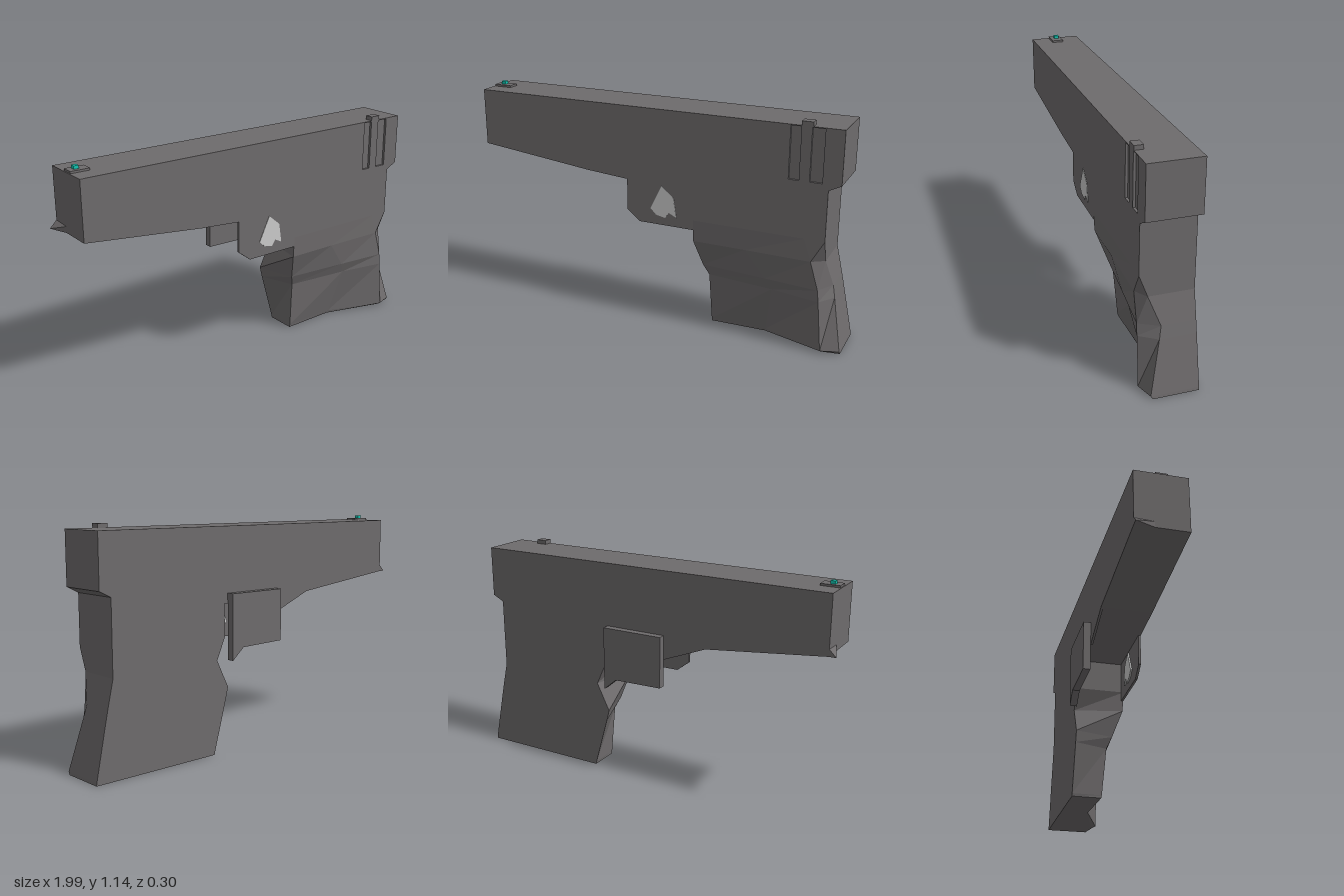
import * as THREE from 'three';

const paint = (color) => new THREE.MeshStandardMaterial({ color, flatShading: true });
const BACK = -0.11, FRONT = 0.15, GROOVE = 0.012;

const outline = (pts) => new THREE.Shape(pts.map(([x, y]) => new THREE.Vector2(x, y)));

// Flat plate from an xy outline between two depths
function plate(shape, z0, z1) {
  const g = new THREE.ExtrudeGeometry(shape, { depth: z1 - z0, bevelEnabled: false });
  return g.translate(0, 0, z0);
}

// Box given by its two opposite corners
function block(x0, x1, y0, y1, z0, z1) {
  const g = new THREE.BoxGeometry(x1 - x0, y1 - y0, z1 - z0);
  return g.translate((x0 + x1) / 2, (y0 + y1) / 2, (z0 + z1) / 2);
}

// Skin over closed sections listed from top to bottom, with a bottom cap
function loft(sections) {
  const v = [];
  const n = sections[0].length;
  for (let s = 0; s < sections.length - 1; s++) {
    for (let i = 0; i < n; i++) {
      const j = (i + 1) % n;
      const a = sections[s][i], b = sections[s][j];
      const c = sections[s + 1][i], d = sections[s + 1][j];
      v.push(...a, ...c, ...b, ...b, ...c, ...d);
    }
  }
  const end = sections[sections.length - 1];
  for (let i = 1; i < n - 1; i++) v.push(...end[0], ...end[i + 1], ...end[i]);
  const g = new THREE.BufferGeometry();
  g.setAttribute('position', new THREE.Float32BufferAttribute(v, 3));
  g.computeVertexNormals();
  return g;
}

export function createModel() {
  const group = new THREE.Group();
  const dark = paint(0x6e6b6c), grey = paint(0xcccccc), teal = paint(0x14c8b4);
  const add = (name, geometry, material = dark) => {
    const mesh = new THREE.Mesh(geometry, material);
    mesh.name = name;
    group.add(mesh);
  };

  // Slide and frame, open below the frame where the guard sits
  const body = (underside) => outline([
    [-0.965, 1.12], [-0.965, 0.83], [-0.35, 0.762], [-0.13, 0.745], ...underside,
    [0.23, 0.58], [0.89, 0.58], [0.89, 0.83], [0.95, 0.86], [0.95, 1.12],
  ]);
  add('frameCore', plate(body([[0.23, 0.745]]), BACK, FRONT - GROOVE));

  // Thin front skin with the grooves, reaching down as the guard's front wall
  const skin = body([[-0.13, 0.584], [-0.06, 0.53], [0.23, 0.53]]);
  for (const [x0, x1] of [[0.7, 0.75], [0.8, 0.86]]) {
    skin.holes.push(new THREE.Path([
      new THREE.Vector2(x0, 0.86), new THREE.Vector2(x0, 1.115),
      new THREE.Vector2(x1, 1.115), new THREE.Vector2(x1, 0.86),
    ]));
  }
  add('guardSkin', plate(skin, FRONT - GROOVE, FRONT));

  // Pointed lip under the muzzle, flaring out at the back
  const lip = (y, tip) => [[tip, y, BACK], [-0.96, y, 0], [-0.96, y, BACK]];
  add('muzzleLip', loft([lip(0.865, -0.965), lip(0.83, -1)]));

  // Thin web under the frame, at the back only
  add('frameWeb', plate(outline([
    [-0.35, 0.762], [-0.12, 0.67], [-0.12, 0.75],
  ]), BACK, BACK + 0.012));

  // Raised plate on the back
  add('backPlate', plate(outline([
    [-0.12, 0.795], [-0.12, 0.53], [0.14, 0.525], [0.21, 0.465], [0.21, 0.795],
  ]), -0.148, BACK));

  // Trigger
  add('trigger', plate(outline([
    [0.06, 0.735], [0.0, 0.61], [0.03, 0.58], [0.08, 0.57], [0.1, 0.6],
    [0.14, 0.58], [0.125, 0.68],
  ]), 0.13, 0.152), grey);

  // Grip: y, back x, front x, front z, panel x, panel z, ridge x, ridge z, rear x, rear z
  const levels = [
    [0.58, 0.23, 0.23, 0.15, 0.5, 0.15, 0.79, 0.15, 0.89, 0.15],
    [0.47, 0.28, 0.23, 0.145, 0.5, 0.145, 0.828, 0.15, 0.89, 0.108],
    [0.33, 0.21, 0.265, 0.095, 0.6, 0.125, 0.87, 0.15, 0.922, 0.055],
    [0.27, 0.225, 0.29, 0.07, 0.63, 0.105, 0.877, 0.15, 0.935, 0.066],
    [0.015, 0.297, 0.3, 0.048, 0.59, 0.04, 0.9, 0.15, 0.988, 0.12],
    [0, 0.3, 0.3, 0.045, 0.585, 0.035, 0.9, 0.125, 0.99, 0.11],
  ];
  add('grip', loft(levels.map(([y, xBack, xf, zf, xp, zp, xr, zr, xb, zb]) => [
    [xBack, y, BACK], [xf, y, zf], [xp, y, zp], [xr, y, zr], [xb, y, zb], [xb, y, BACK],
  ])));

  // Sights
  add('frontSightBase', block(-0.96, -0.865, 1.12, 1.13, -0.005, 0.055));
  add('frontSightBead', block(-0.932, -0.908, 1.13, 1.145, 0.01, 0.034), teal);
  add('rearSight', block(0.75, 0.805, 1.12, 1.141, 0.107, 0.15));

  return group;
}
